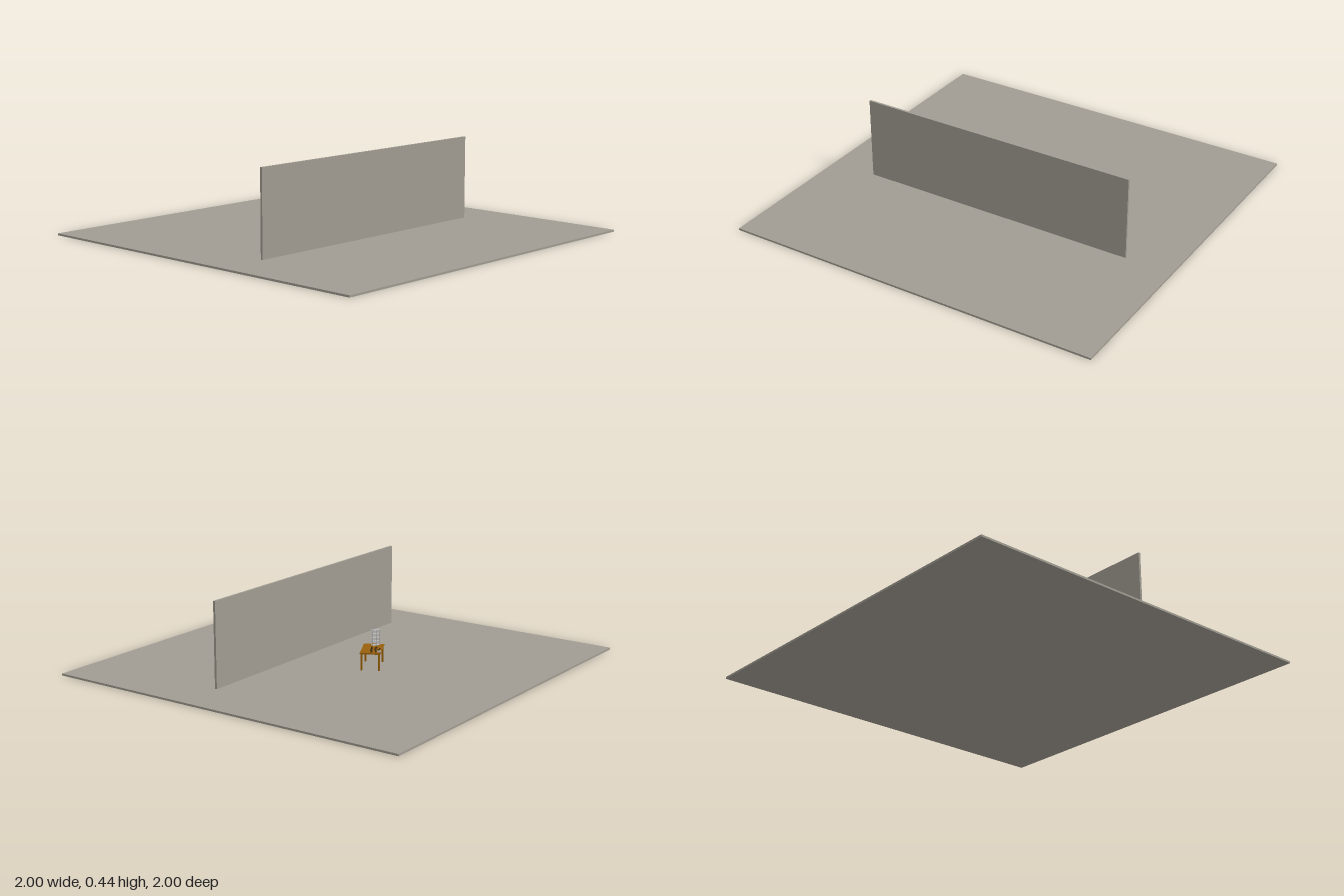
import * as THREE from 'three';

const material = (name, color) => {
  const m = new THREE.MeshStandardMaterial({ color });
  m.name = name;
  return m;
};

export function createModel() {
  const stone = material('warm grey stone', 0xa09c92);
  const wood = material('golden brown wood', 0x99600c);
  const pale = material('pale grey', 0xb4b4b8);
  const dark = material('dark brown', 0x4a3518);

  const model = new THREE.Group();
  model.name = 'tableAndWall';

  const add = (parent, name, geometry, mat, x, y, z) => {
    const mesh = new THREE.Mesh(geometry, mat);
    mesh.name = name;
    mesh.position.set(x, y, z);
    parent.add(mesh);
    return mesh;
  };
  const box = (parent, name, mat, w, h, d, x, y, z) =>
    add(parent, name, new THREE.BoxGeometry(w, h, d), mat, x, y, z);

  // Ground slab and free-standing wall
  box(model, 'floor', stone, 2, 0.01, 2, 0, 0.005, 0);
  box(model, 'wall', stone, 1.5, 0.435, 0.012, 0, 0.2275, 0.217);

  // Table, turned on the floor
  const table = new THREE.Group();
  table.name = 'table';
  table.position.set(0, 0.01, -0.175);
  table.rotation.y = 0.48;
  model.add(table);
  box(table, 'tableTop', wood, 0.174, 0.007, 0.103, 0, 0.0885, 0);
  for (const x of [-1, 1]) {
    for (const z of [-1, 1]) {
      box(table, 'tableLeg', wood, 0.009, 0.085, 0.009, x * 0.079, 0.0425, z * 0.044);
    }
  }

  // Open rack standing on the table
  const rack = new THREE.Group();
  rack.name = 'rack';
  rack.position.set(-0.062, 0.102, -0.153);
  rack.rotation.y = -0.5;
  model.add(rack);
  for (let i = 0; i < 5; i++) {
    box(rack, 'rackShelf', pale, 0.042, 0.002, 0.022, 0, 0.001 + i * 0.0195, 0);
  }
  for (const x of [-0.02, 0, 0.02]) {
    for (const z of [-0.01, 0.01]) {
      box(rack, 'rackPost', pale, 0.002, 0.08, 0.002, x, 0.04, z);
    }
  }

  // Small pieces scattered over the table: x, z, height
  const pieces = [
    [-0.017, -0.19, 0.007], [0.003, -0.198, 0.01], [0.018, -0.208, 0.008],
    [0.045, -0.203, 0.007], [0.058, -0.212, 0.01], [-0.006, -0.217, 0.007],
    [0.025, -0.23, 0.011], [0.045, -0.228, 0.007], [0.012, -0.182, 0.012],
    [0.03, -0.19, 0.007],
  ];
  const pieceGeometry = new THREE.CylinderGeometry(0.004, 0.0055, 1, 8);
  for (const [x, z, h] of pieces) {
    add(model, 'tablePiece', pieceGeometry, dark, x, 0.102 + h / 2, z).scale.y = h;
  }

  // Pale dish at the far corner
  add(model, 'dish', new THREE.CylinderGeometry(0.011, 0.008, 0.006, 12), pale, 0.036, 0.105, -0.243);

  return model;
}
